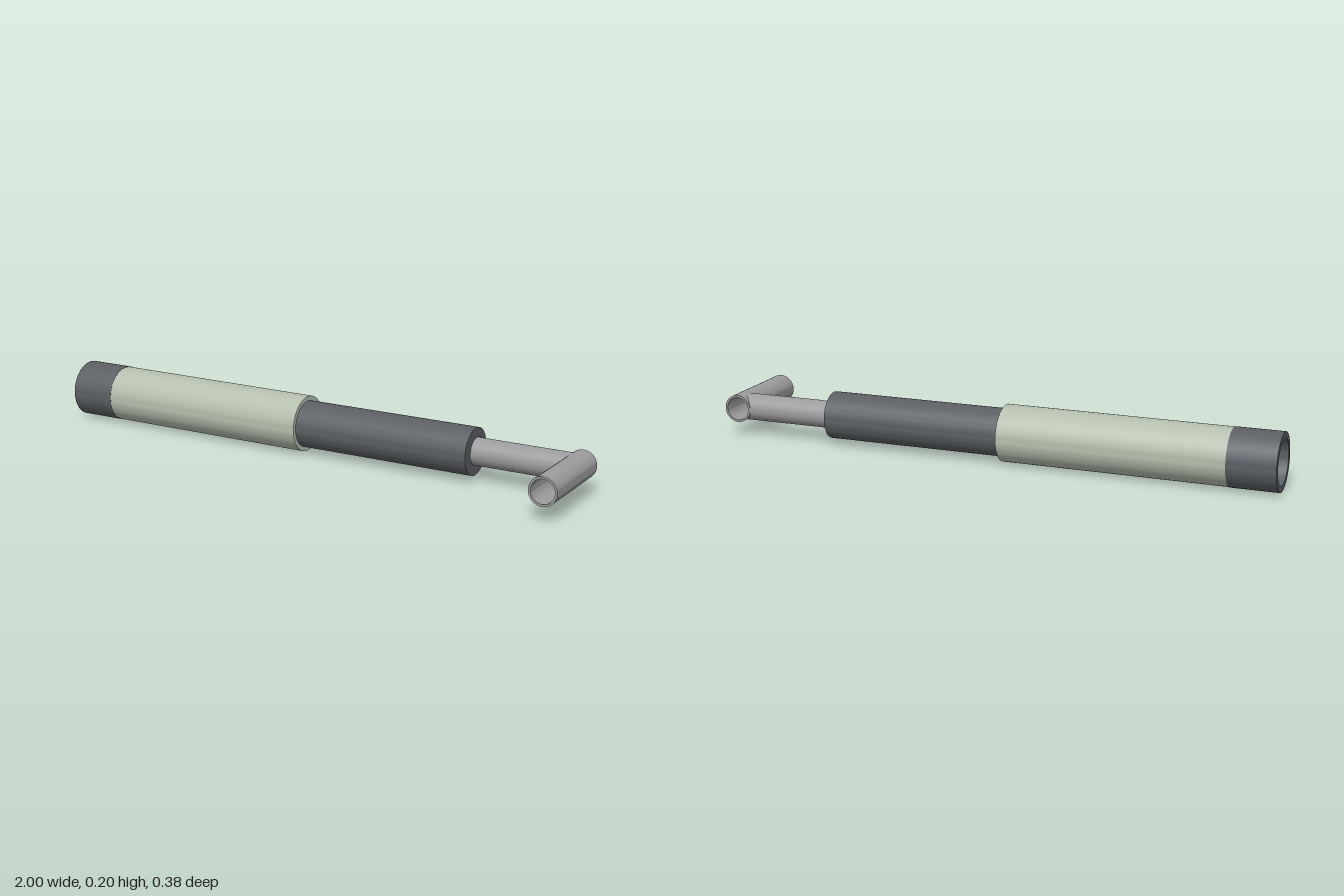
import * as THREE from 'three';
import { toCreasedNormals } from 'three/addons/utils/BufferGeometryUtils.js';

const AXIS_Y = 0.1;
const SEGMENTS = 64;

const material = (name, color) => {
  const m = new THREE.MeshStandardMaterial({ color });
  m.name = name;
  return m;
};

// Turned part from [radius, position] pairs, lying along +x
function turned(profile) {
  const points = profile.map(([r, x]) => new THREE.Vector2(r, x));
  const geo = toCreasedNormals(new THREE.LatheGeometry(points, SEGMENTS), 0.6);
  return geo.rotateZ(-Math.PI / 2);
}

export function createModel() {
  const group = new THREE.Group();
  group.name = 'telescopicCrank';
  const dark = material('darkGrey', 0x5b5f63);
  const sage = material('sageGreen', 0xb5bfae);
  const metal = material('metalGrey', 0x9c9c9e);

  const add = (name, geo, mat, x, z) => {
    const mesh = new THREE.Mesh(geo, mat);
    mesh.name = name;
    mesh.position.set(x, AXIS_Y, z);
    group.add(mesh);
    return mesh;
  };

  // End cap with a recessed back
  add('endCap', turned([[0, 0.06], [0.078, 0.06], [0.078, 0], [0.099, 0], [0.099, 0.165], [0, 0.165]]),
    dark, -1, -0.09);

  // Outer sleeve, a touch off the cap's axis
  const sleeve = add('outerSleeve', turned([[0, -0.393], [0.098, -0.393], [0.098, 0.393], [0, 0.393]]),
    sage, -0.443, -0.0872);
  sleeve.rotation.y = -0.0057;

  // Inner sleeve sliding out of the outer one
  add('innerSleeve', turned([[0, -0.1], [0.082, -0.1], [0.082, 0.595], [0, 0.595]]), dark, 0, -0.084);

  // Cross handle: an open tube along z
  const handleX = 0.951, handleR = 0.049, bore = 0.041, half = 0.164;
  const tube = turned([[handleR, -half], [handleR, half], [bore, half], [bore, -half], [handleR, -half]]);
  add('crossHandle', tube.rotateY(-Math.PI / 2), metal, handleX, 0.0265);

  // Rod, its far end cut to a saddle against the handle
  const rod = new THREE.CylinderGeometry(0.0475, 0.0475, 1, SEGMENTS, 1, true).rotateZ(-Math.PI / 2);
  const p = rod.attributes.position;
  for (let i = 0; i < p.count; i++) {
    const y = p.getY(i);
    p.setX(i, p.getX(i) > 0 ? handleX - Math.sqrt(handleR ** 2 - y ** 2) + 0.001 : 0.57);
  }
  add('rod', rod, metal, 0, -0.089);

  return group;
}
